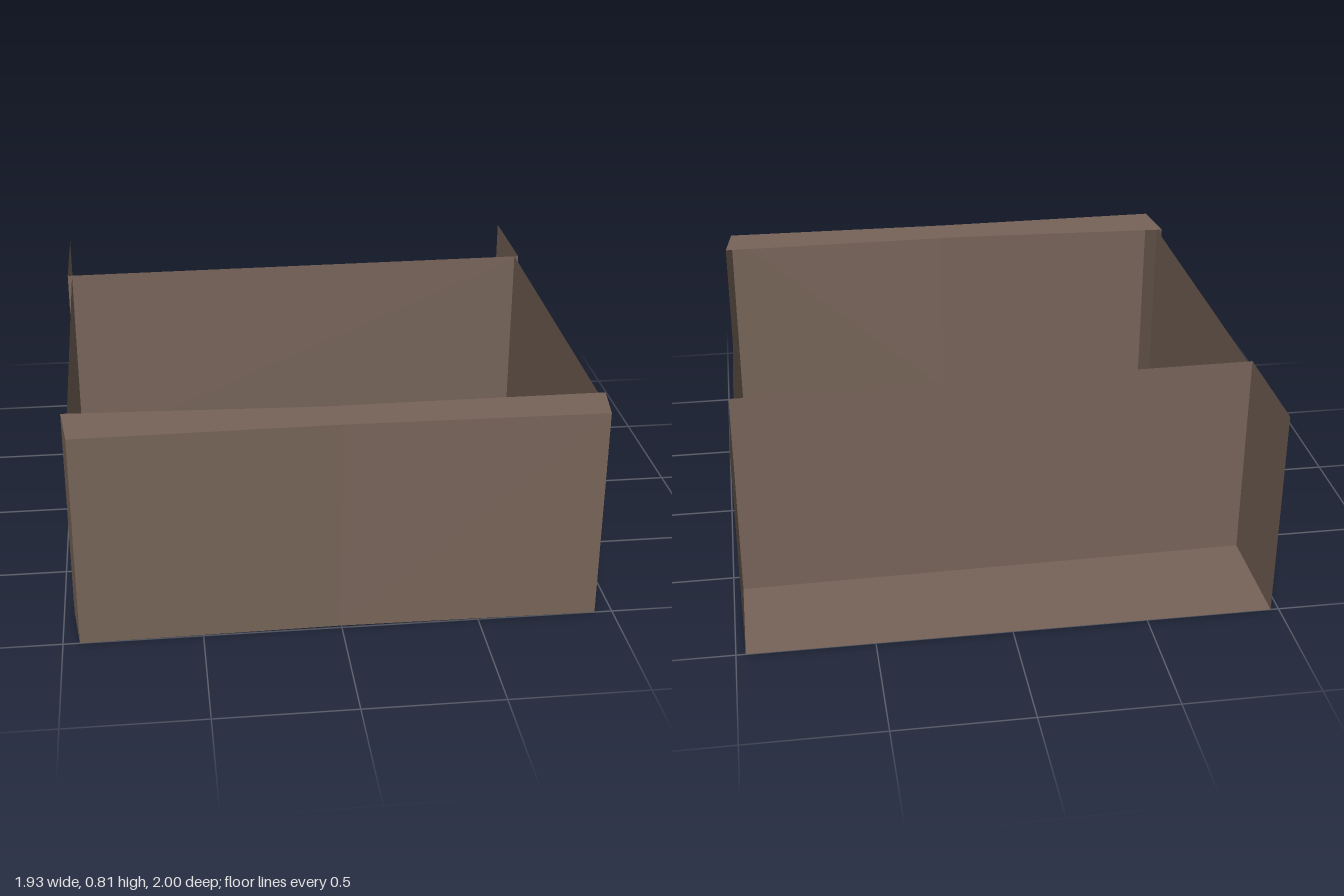
import * as THREE from 'three';

const HEIGHT = 0.81;

export function createModel() {
  const model = new THREE.Group();
  const brown = new THREE.MeshStandardMaterial({ color: 0x776459, side: THREE.DoubleSide, flatShading: true });
  brown.name = 'brown';

  function add(geometry, name) {
    const mesh = new THREE.Mesh(geometry, brown);
    mesh.name = name;
    model.add(mesh);
    return mesh;
  }

  // Flat board from a plan outline of [x, z] corners
  function board(name, outline, y = 0) {
    const shape = new THREE.Shape(outline.map(([x, z]) => new THREE.Vector2(x, z)));
    add(new THREE.ShapeGeometry(shape).rotateX(Math.PI / 2), name).position.y = y;
  }

  // Upright sheet standing along a plan path of [x, z] points
  function wall(name, path) {
    const positions = [];
    for (let i = 0; i < path.length - 1; i++) {
      const [ax, az] = path[i];
      const [bx, bz] = path[i + 1];
      positions.push(ax, 0, az, bx, 0, bz, bx, HEIGHT, bz);
      positions.push(ax, 0, az, bx, HEIGHT, bz, ax, HEIGHT, az);
    }
    const geometry = new THREE.BufferGeometry();
    geometry.setAttribute('position', new THREE.Float32BufferAttribute(positions, 3));
    geometry.computeVertexNormals();
    add(geometry, name);
  }

  // Front bar: floor, roof, front face and slanted ends, open to the inside
  const frontPath = [[-0.963, 0.797], [-0.94, 1], [0, 0.988], [0.935, 1], [0.96, 0.83]];
  const frontOutline = [...frontPath, [0.2, 0.835], [0, 0.838], [-0.12, 0.835]];
  board('frontFloor', frontOutline);
  board('frontRoof', frontOutline, HEIGHT);
  wall('frontWall', frontPath);

  // Back bay: floor, ends and inner wall, open to the back and top
  const backPath = [[-0.97, -1], [-0.97, -0.553], [0.965, -0.582], [0.965, -1]];
  board('backFloor', backPath);
  wall('backWall', backPath);

  // Side walls along the outer edges of their floor strips
  wall('rightWall', [[0.948, -0.582], [0.933, 0.83]]);
  wall('leftWall', [[-0.952, -0.553], [-0.94, 0.798]]);
  board('rightStrip', [[0.85, -0.58], [0.948, -0.582], [0.933, 0.83], [0.875, 0.831]]);
  board('leftStrip', [[-0.952, -0.553], [-0.857, -0.554], [-0.876, 0.801], [-0.94, 0.798]]);

  // Long floor dividers, slightly wider at the front
  for (const [name, x] of [['leftDivider', -0.315], ['rightDivider', 0.31]]) {
    const back = -0.5675 - x * 0.015;
    const front = x < 0 ? 0.827 : 0.834;
    board(name, [[x - 0.03, back], [x + 0.03, back], [x + 0.04, front], [x - 0.04, front]]);
  }

  // Slanted cross bars between the strips: x and z at each end
  const bars = [
    [-0.865, -0.115, -0.349, -0.08],
    [-0.871, 0.38, -0.352, 0.423],
    [-0.28, 0.16, 0.275, 0.132],
  ];
  for (const [ax, az, bx, bz] of bars) {
    board('crossBar', [[ax, az], [bx, bz], [bx, bz + 0.06], [ax, az + 0.06]]);
  }

  return model;
}
